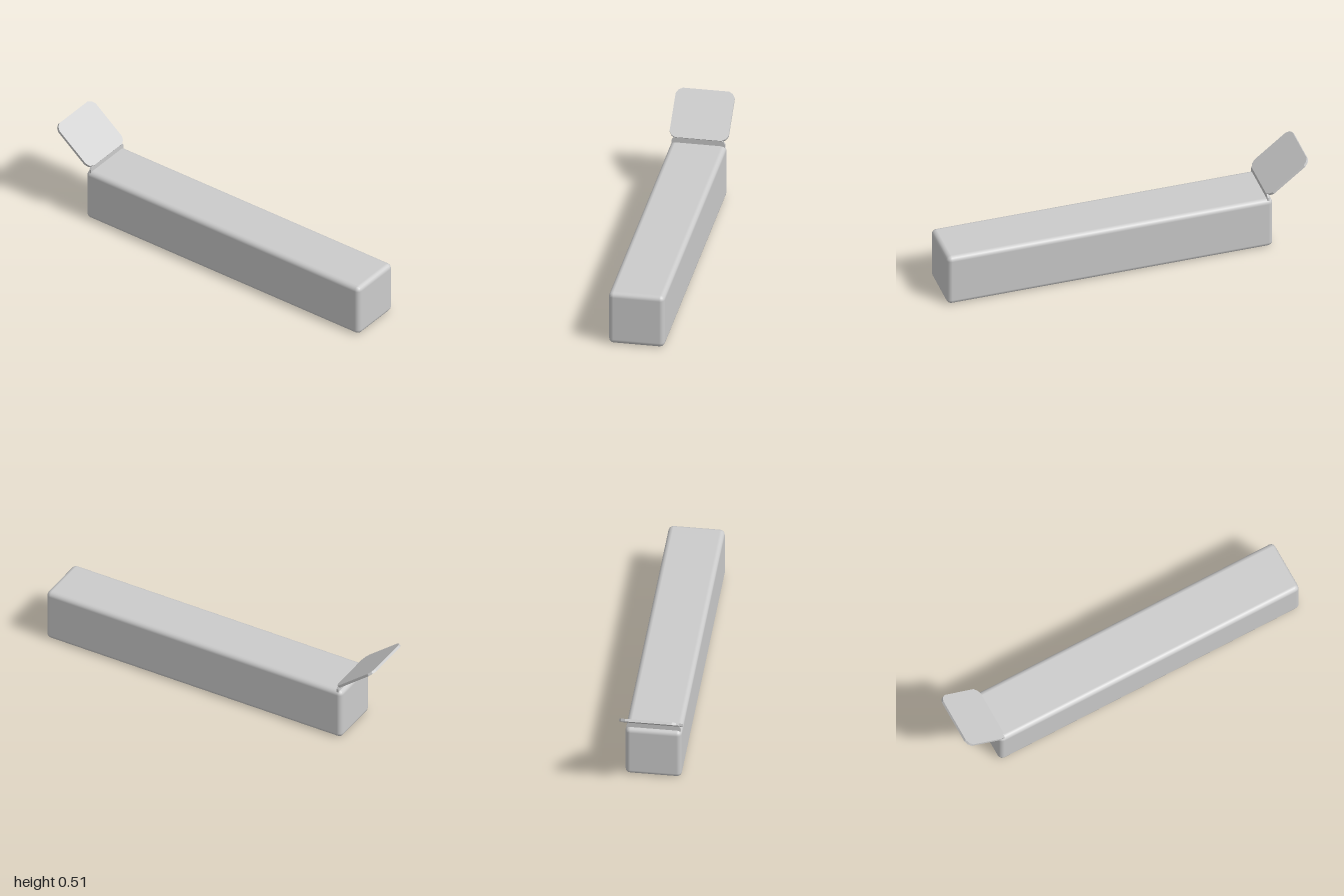
import * as THREE from 'three';
import { RoundedBoxGeometry } from 'three/addons/geometries/RoundedBoxGeometry.js';

const material = new THREE.MeshStandardMaterial({ color: 0xcccccc });

// Flat panel with cut corners, centred on the origin, lying in XY with thickness along Z
function panel(length, width, thickness, cut) {
  const a = length / 2, b = width / 2;
  const m = cut * 0.36;
  const corner = [[a, b - cut], [a - m, b - m], [a - cut, b]];
  const back = [...corner].reverse();
  const points = [
    ...corner,
    ...back.map(([x, y]) => [-x, y]),
    ...corner.map(([x, y]) => [-x, -y]),
    ...back.map(([x, y]) => [x, -y]),
  ].map(([x, y]) => new THREE.Vector2(x, y));
  const geometry = new THREE.ExtrudeGeometry(new THREE.Shape(points), { depth: thickness, bevelEnabled: false });
  return geometry.translate(0, 0, -thickness / 2).rotateX(-Math.PI / 2);
}

function add(group, name, geometry, x, y) {
  const mesh = new THREE.Mesh(geometry, material);
  mesh.name = name;
  mesh.position.set(x, y, 0);
  group.add(mesh);
  return mesh;
}

export function createModel() {
  const model = new THREE.Group();
  model.name = 'boxWithFlap';

  // Long softened box
  add(model, 'body', new RoundedBoxGeometry(1.8, 0.3, 0.3, 2, 0.027), 0.1, 0.15);

  // Narrow upright strip that carries the flap
  const hinge = add(model, 'hingeStrip', panel(0.06, 0.286, 0.011, 0.02), -0.774, 0.302);
  hinge.rotation.z = Math.PI / 2;

  // Tilted flap rising outward from the strip
  const low = new THREE.Vector2(-0.77, 0.327), high = new THREE.Vector2(-0.995, 0.506);
  const span = low.clone().sub(high);
  const flap = add(model, 'flap', panel(span.length(), 0.316, 0.014, 0.034), (low.x + high.x) / 2, (low.y + high.y) / 2);
  flap.rotation.z = Math.atan2(span.y, span.x);

  return model;
}
